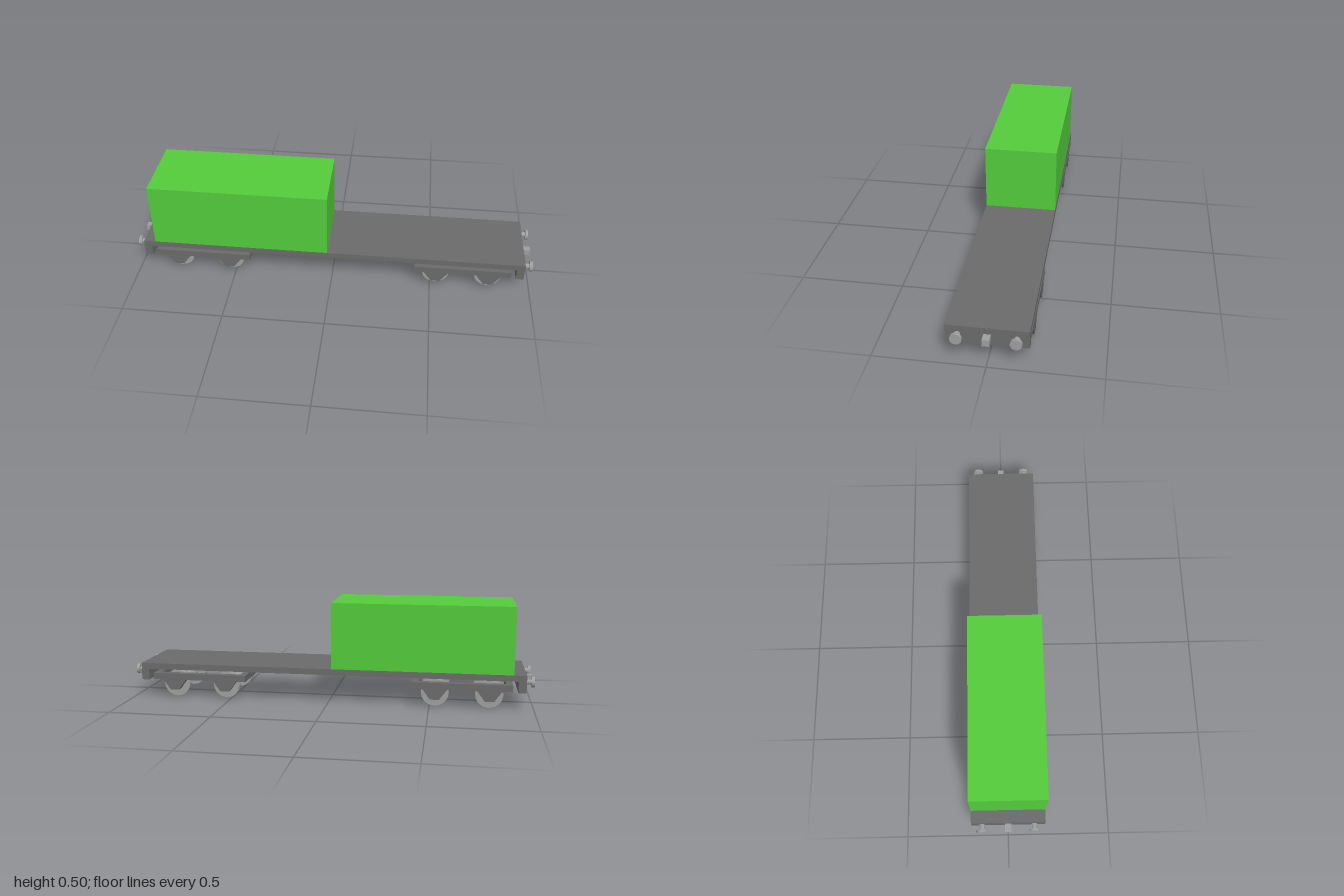
import * as THREE from 'three';

const material = (name, color) => {
  const m = new THREE.MeshStandardMaterial({ color });
  m.name = name;
  return m;
};

export function createModel() {
  const frameGrey = material('frame grey', 0x6b6b6b);
  const metalGrey = material('light metal grey', 0x9f9f9f);
  const green = material('container green', 0x53cc3b);

  const wagon = new THREE.Group();
  wagon.name = 'flatWagon';

  function add(parent, name, geometry, mat, x, y, z) {
    const mesh = new THREE.Mesh(geometry, mat);
    mesh.name = name;
    mesh.position.set(x, y, z);
    parent.add(mesh);
    return mesh;
  }
  // box given by its minimum and maximum corners
  function box(parent, name, mat, x0, x1, y0, y1, z0, z1) {
    return add(parent, name, new THREE.BoxGeometry(x1 - x0, y1 - y0, z1 - z0), mat,
      (x0 + x1) / 2, (y0 + y1) / 2, (z0 + z1) / 2);
  }
  const cylinder = (r, length, sides) =>
    new THREE.CylinderGeometry(r, r, length, sides).toNonIndexed();
  const faceted = (g) => { g.computeVertexNormals(); return g; };

  // deck and load
  box(wagon, 'deck', frameGrey, -0.96, 0.96, 0.145, 0.175, -0.18, 0.18);
  box(wagon, 'container', green, -0.9, -0.02, 0.175, 0.503, -0.18, 0.18);

  // end beams with buffers and coupling
  for (const s of [-1, 1]) {
    const end = new THREE.Group();
    end.name = s > 0 ? 'leftEnd' : 'rightEnd';
    wagon.add(end);
    add(end, 'endBeam', new THREE.BoxGeometry(0.038, 0.056, 0.36), frameGrey, s * 0.941, 0.117, 0);
    add(end, 'coupling', new THREE.BoxGeometry(0.04, 0.032, 0.032), metalGrey, s * 0.98, 0.128, 0);
    for (const z of [-0.127, 0.127]) {
      add(end, 'bufferShaft', faceted(cylinder(0.013, 0.026, 16).rotateZ(Math.PI / 2)),
        metalGrey, s * 0.973, 0.134, z);
      add(end, 'bufferHead', faceted(cylinder(0.026, 0.014, 24).rotateZ(Math.PI / 2)),
        metalGrey, s * 0.993, 0.134, z);
    }
  }

  // tapered axle guard hanging below a side bar
  const guardShape = new THREE.Shape([
    new THREE.Vector2(-0.06, 0.093), new THREE.Vector2(-0.022, 0.041),
    new THREE.Vector2(0.022, 0.041), new THREE.Vector2(0.06, 0.093),
  ]);
  const guard = new THREE.ExtrudeGeometry(guardShape, { depth: 0.032, bevelEnabled: false });
  const wheel = faceted(cylinder(0.068, 0.024, 16).rotateX(Math.PI / 2));
  const axle = faceted(cylinder(0.021, 0.23, 16).rotateX(Math.PI / 2));

  // bogies: rectangular frame, axle guards and two wheelsets
  for (const s of [-1, 1]) {
    const bogie = new THREE.Group();
    bogie.name = s > 0 ? 'leftBogie' : 'rightBogie';
    bogie.position.x = s * 0.657;
    wagon.add(bogie);
    for (const e of [-1, 1]) {
      add(bogie, 'sideBar', new THREE.BoxGeometry(0.48, 0.032, 0.032), frameGrey, 0, 0.109, e * 0.164);
      add(bogie, 'crossBar', new THREE.BoxGeometry(0.032, 0.032, 0.296), frameGrey, e * 0.224, 0.109, 0);

      const x = e * 0.131;
      add(bogie, 'axle', axle, metalGrey, x, 0.068, 0);
      for (const side of [-1, 1]) {
        add(bogie, 'wheel', wheel, metalGrey, x, 0.068, side * 0.127);
        add(bogie, 'axleGuard', guard, frameGrey, x, 0, side > 0 ? 0.148 : -0.18);
      }
    }
  }
  return wagon;
}
